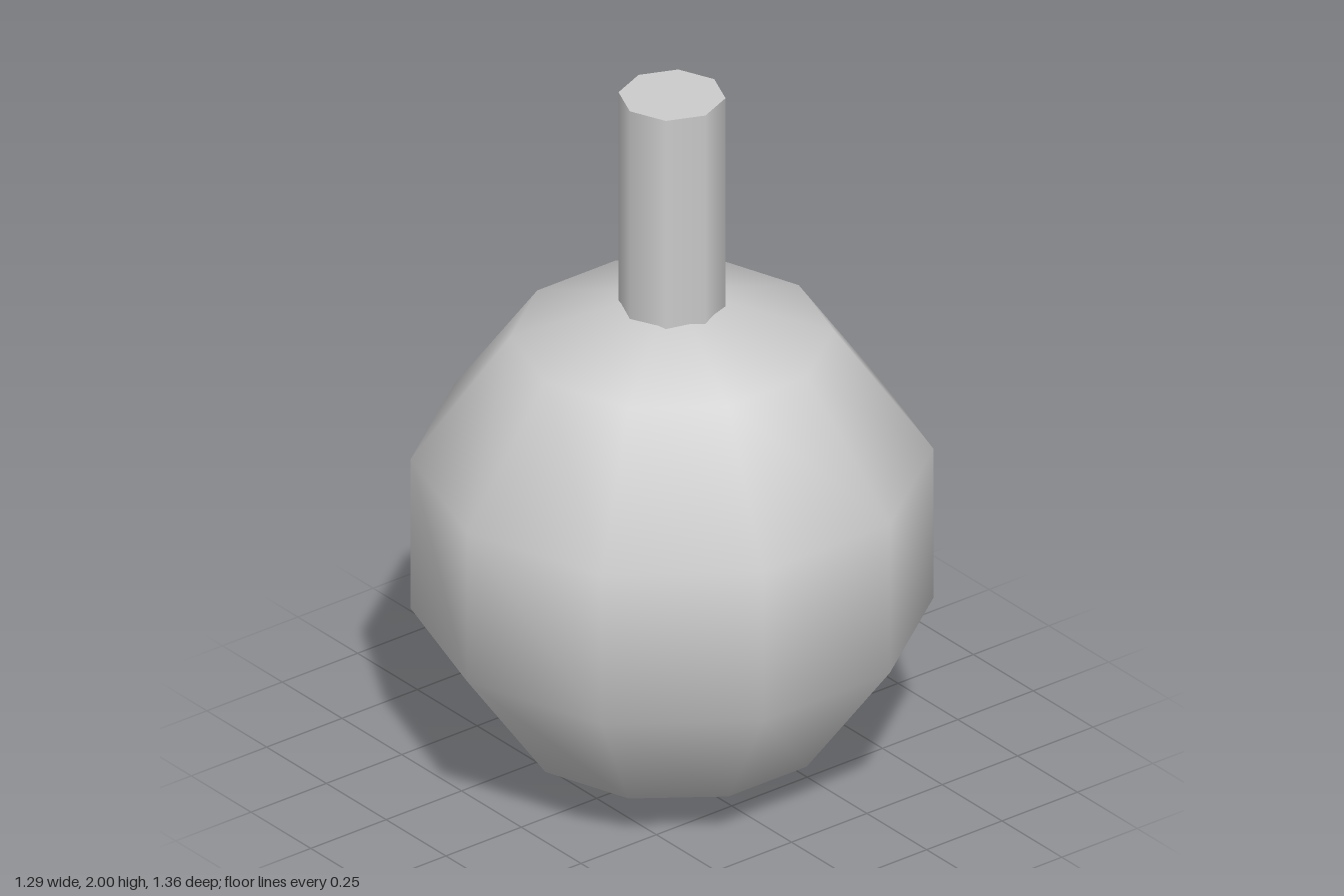
import * as THREE from 'three';

export function createModel() {
  const model = new THREE.Group();
  const material = new THREE.MeshStandardMaterial({ color: 0xcccccc });

  function addPart(name, geometry, y) {
    const mesh = new THREE.Mesh(geometry, material);
    mesh.name = name;
    mesh.position.y = y;
    model.add(mesh);
  }

  // Round bulb: ten sides, five bands, with corners on the z axis
  const radius = 0.715;
  addPart('bulb', new THREE.SphereGeometry(radius, 10, 5).rotateY(Math.PI / 2), radius);

  // Eight-sided neck, sunk a little into the bulb
  const neckBottom = 1.3, neckTop = 2;
  addPart('neck', new THREE.CylinderGeometry(0.14, 0.14, neckTop - neckBottom, 8), (neckTop + neckBottom) / 2);

  return model;
}
